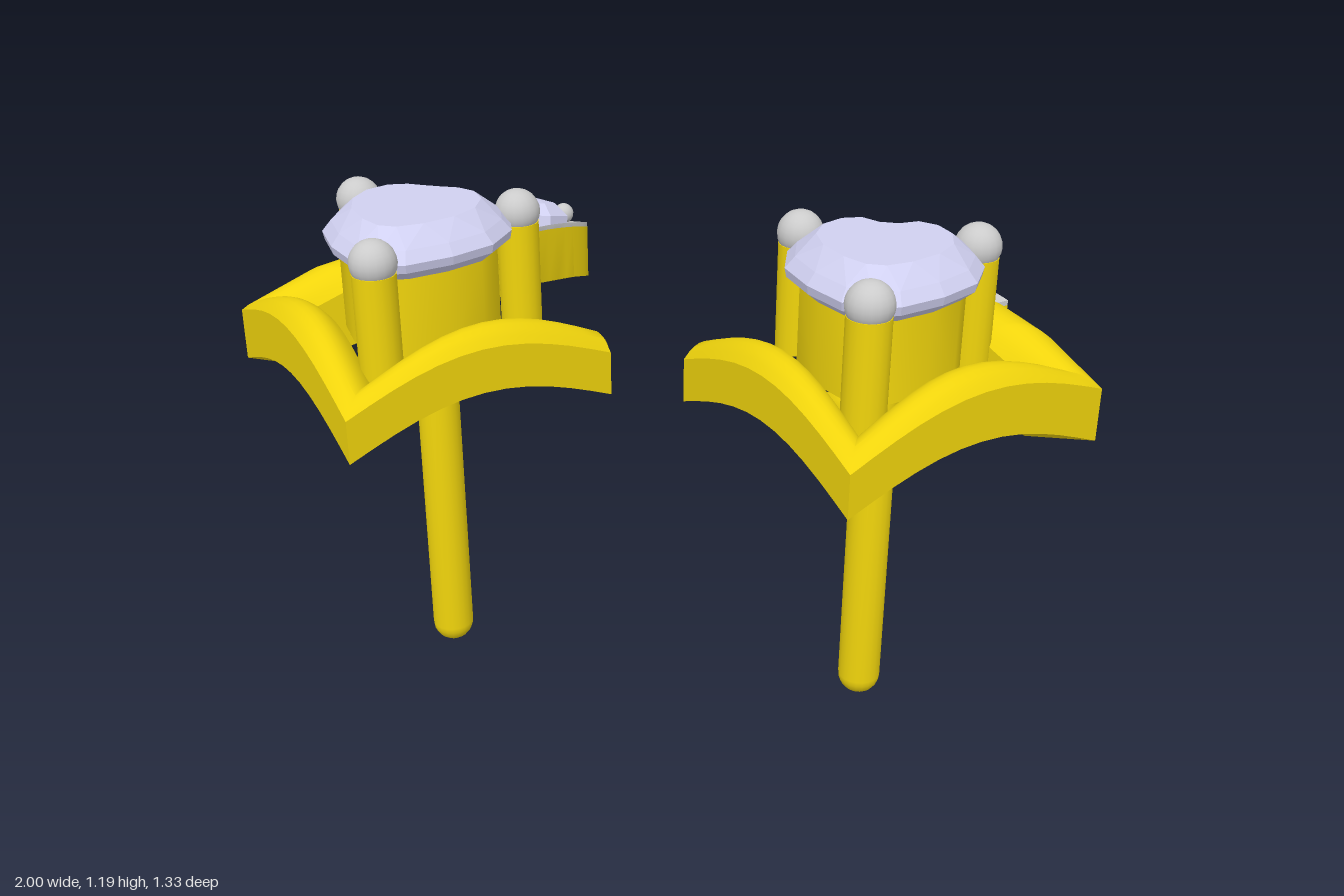
import * as THREE from 'three';
import { toCreasedNormals } from 'three/addons/utils/BufferGeometryUtils.js';

const gold = new THREE.MeshStandardMaterial({ color: 0xf0d40c });
const silver = new THREE.MeshStandardMaterial({ color: 0xcccccc });
const gem = new THREE.MeshStandardMaterial({ color: 0xd0d0f0, flatShading: true });
const V2 = (x, y) => new THREE.Vector2(x, y);
const V3 = (x, y, z) => new THREE.Vector3(x, y, z);
const lerp = THREE.MathUtils.lerp;

// Joins closed rings of points into a capped solid, facing outwards
function loft(rings) {
  const n = rings[0].length, pts = rings.flat(), idx = [];
  for (let r = 0; r < rings.length - 1; r++)
    for (let i = 0; i < n; i++) {
      const a = r * n + i, b = r * n + (i + 1) % n;
      idx.push(a, b, a + n, b, b + n, a + n);
    }
  [0, rings.length - 1].forEach((r, end) => {
    const c = V3(0, 0, 0);
    rings[r].forEach(p => c.addScaledVector(p, 1 / n));
    pts.push(c);
    for (let i = 0; i < n; i++) {
      const a = r * n + i, b = r * n + (i + 1) % n, m = pts.length - 1;
      if (end) idx.push(a, b, m); else idx.push(b, a, m);
    }
  });
  let vol = 0;
  for (let i = 0; i < idx.length; i += 3)
    vol += pts[idx[i]].dot(V3().crossVectors(pts[idx[i + 1]], pts[idx[i + 2]]));
  if (vol < 0) idx.reverse();
  const g = new THREE.BufferGeometry().setFromPoints(pts);
  g.setIndex(idx);
  g.computeVertexNormals();
  return g;
}

// Upright slab from a plan outline of (x, z) points, its base at y = 0
function slab(outline, height, holes = []) {
  const flip = list => list.map(p => V2(p.x, -p.y));
  const shape = new THREE.Shape(flip(outline));
  holes.forEach(h => shape.holes.push(new THREE.Path(flip(h))));
  return new THREE.ExtrudeGeometry(shape, { depth: height, bevelEnabled: false, curveSegments: 12 })
    .rotateX(-Math.PI / 2);
}

const circle = (x, z, r, n = 16) => Array.from({ length: n }, (_, i) =>
  V2(x + r * Math.cos(i / n * 2 * Math.PI), z + r * Math.sin(i / n * 2 * Math.PI)));

// Mirrors a geometry in x and restores the order of its corners
function mirrored(g) {
  g.scale(-1, 1, 1);
  const src = g.index ? Array.from(g.index.array) : Array.from({ length: g.attributes.position.count }, (_, i) => i);
  g.setIndex(src.reverse());
  return g;
}

// Angled, arched band: stations of outer x, z, inner x, z, top and bottom
function bandGeometry() {
  const keys = [
    [0.085, 0.165, 0.165, 0.1, 0.885, 0.745],
    [0.52, 0.66, 0.52, 0.504, 0.9, 0.765],
    [1, 0.15, 0.85, 0.16, 0.9, 0.74],
    [0.885, 0.025, 0.735, 0.07, 0.955, 0.775],
    [0.785, -0.085, 0.645, 0.01, 0.972, 0.8],
  ];
  const arch = [0.085, 0.085, 0, 0];
  const ring = ([ox, oz, ix, iz, top, bot]) => {
    const pts = [V3(ox, bot, oz), V3(ix, bot, iz)];
    for (let k = 0; k <= 8; k++) {
      const u = 1 - k / 8;
      pts.push(V3(lerp(ox, ix, u), top - 0.035 * (2 * u - 1) ** 2, lerp(oz, iz, u)));
    }
    return pts;
  };
  const rings = [ring([0.093, 0.137, 0.134, 0.103, 0.865, 0.75])];
  for (let s = 0; s < 4; s++)
    for (let j = s ? 1 : 0; j <= 12; j++) {
      const t = j / 12, st = keys[s].map((v, i) => lerp(v, keys[s + 1][i], t));
      const rise = arch[s] * Math.sin(Math.PI * t);
      st[4] += rise;
      st[5] += rise;
      rings.push(ring(st));
    }
  return toCreasedNormals(loft(rings), 0.6);
}

// Curved tail: a slab whose height follows an arc in z
const tailTop = z => 0.955 - 0.45 * (z + 0.18) ** 2;
const tailOutline = new THREE.SplineCurve([
  [0.785, -0.09], [0.7, -0.2], [0.61, -0.38], [0.553, -0.55], [0.53, -0.62], [0.45, -0.665],
  [0.37, -0.63], [0.345, -0.55], [0.41, -0.36], [0.5, -0.16], [0.645, 0.01],
].map(p => V2(...p))).getPoints(60);
function tailSlab(base, height, holes) {
  const g = slab(tailOutline, height, holes), p = g.attributes.position;
  for (let i = 0; i < p.count; i++) p.setY(i, p.getY(i) + base + tailTop(p.getZ(i)));
  return toCreasedNormals(g, 0.5);
}

// Plan of the centre stone about its middle, with a notch of given depth at the back
const stoneOutline = (notch, s) => {
  const half = [[0.06, -0.165], [0.115, -0.17], [0.18, -0.12], [0.21, -0.04], [0.2, 0.06], [0.14, 0.15], [0.06, 0.225]];
  return [[0, -0.165 + notch], ...half, [0, 0.245], ...half.map(([x, z]) => [-x, z]).reverse()]
    .map(([x, z]) => V2(0.52 + x * s, 0.2 + z * s));
};
function stoneGeometry(notch) {
  const levels = [[0.1, 0.94], [0.72, 1.06], [0.98, 1.105], [1, 1.125], [0.9, 1.15], [0.7, 1.188]];
  return loft(levels.map(([s, y], k) => {
    const o = stoneOutline(notch, s);
    // the table is turned half a step so its facets become triangles
    return o.map((p, i) => {
      const q = k === 5 ? p.clone().lerp(o[(i + 1) % o.length], 0.5) : p;
      return V3(q.x, y, q.y);
    });
  }));
}

function earring(side, notch) {
  const group = new THREE.Group();
  const add = (name, geo, mat) => {
    const m = new THREE.Mesh(side < 0 ? mirrored(geo) : geo, mat);
    m.name = name;
    group.add(m);
  };

  // Ear post with a rounded tip
  const tip = Array.from({ length: 7 }, (_, i) => {
    const a = i / 6 * Math.PI / 2;
    return V2(0.05 * Math.sin(a), 0.05 - 0.05 * Math.cos(a));
  });
  add('post', new THREE.LatheGeometry([...tip, V2(0.05, 0.98), V2(0, 0.98)], 20).translate(0.52, 0, 0.14), gold);

  // Band and the bridge that ties it to the post
  add('band', bandGeometry(), gold);
  const bridge = new THREE.CatmullRomCurve3([V3(0.35, 0.88, 0.36), V3(0.43, 0.8, 0.25), V3(0.52, 0.8, 0.14)]);
  add('bridge', new THREE.TubeGeometry(bridge, 12, 0.04, 12), gold);

  // Tail with drilled seats, its plate, small stones and beads
  const seats = [[0.465, -0.49], [0.54, -0.315], [0.635, -0.155]];
  add('tail', tailSlab(-0.15, 0.142, seats.map(([x, z]) => circle(x, z, 0.036))), gold);
  add('tailPlate', tailSlab(-0.008, 0.012), silver);
  seats.forEach(([x, z], i) => {
    const g = new THREE.SphereGeometry(0.097, 8, 5).scale(1, 0.62, 1).rotateY(i * 0.5)
      .rotateX(0.9 * (z + 0.18)).translate(x, tailTop(z) + 0.002, z);
    add('smallStone', g, gem);
  });
  [[0.41, -0.585], [0.515, -0.605], [0.45, -0.375], [0.57, -0.415],
    [0.545, -0.195], [0.645, -0.25], [0.645, -0.055], [0.72, -0.11]].forEach(([x, z]) =>
    add('bead', new THREE.SphereGeometry(0.027, 14, 10).translate(x, tailTop(z) + 0.025, z), silver));

  // Basket, centre stone and its three prongs
  const basket = slab(stoneOutline(notch, 0.84), 0.2, [stoneOutline(notch, 0.64)]).translate(0, 0.895, 0);
  add('basket', toCreasedNormals(basket, 0.7), gold);
  add('centreStone', stoneGeometry(notch), gem);
  [[0.325, 0.07, 0.86], [0.71, 0.07, 0.8], [0.52, 0.455, 0.86]].forEach(([x, z, y]) => {
    add('prong', new THREE.CylinderGeometry(0.048, 0.048, 1.115 - y, 18).translate(x, (1.115 + y) / 2, z), gold);
    add('prongTip', new THREE.SphereGeometry(0.052, 18, 12).translate(x, 1.138, z), silver);
  });
  return group;
}

export function createModel() {
  const model = new THREE.Group();
  const left = earring(1, 0.06), right = earring(-1, 0);
  left.name = 'leftEarring';
  right.name = 'rightEarring';
  model.add(left, right);
  return model;
}
